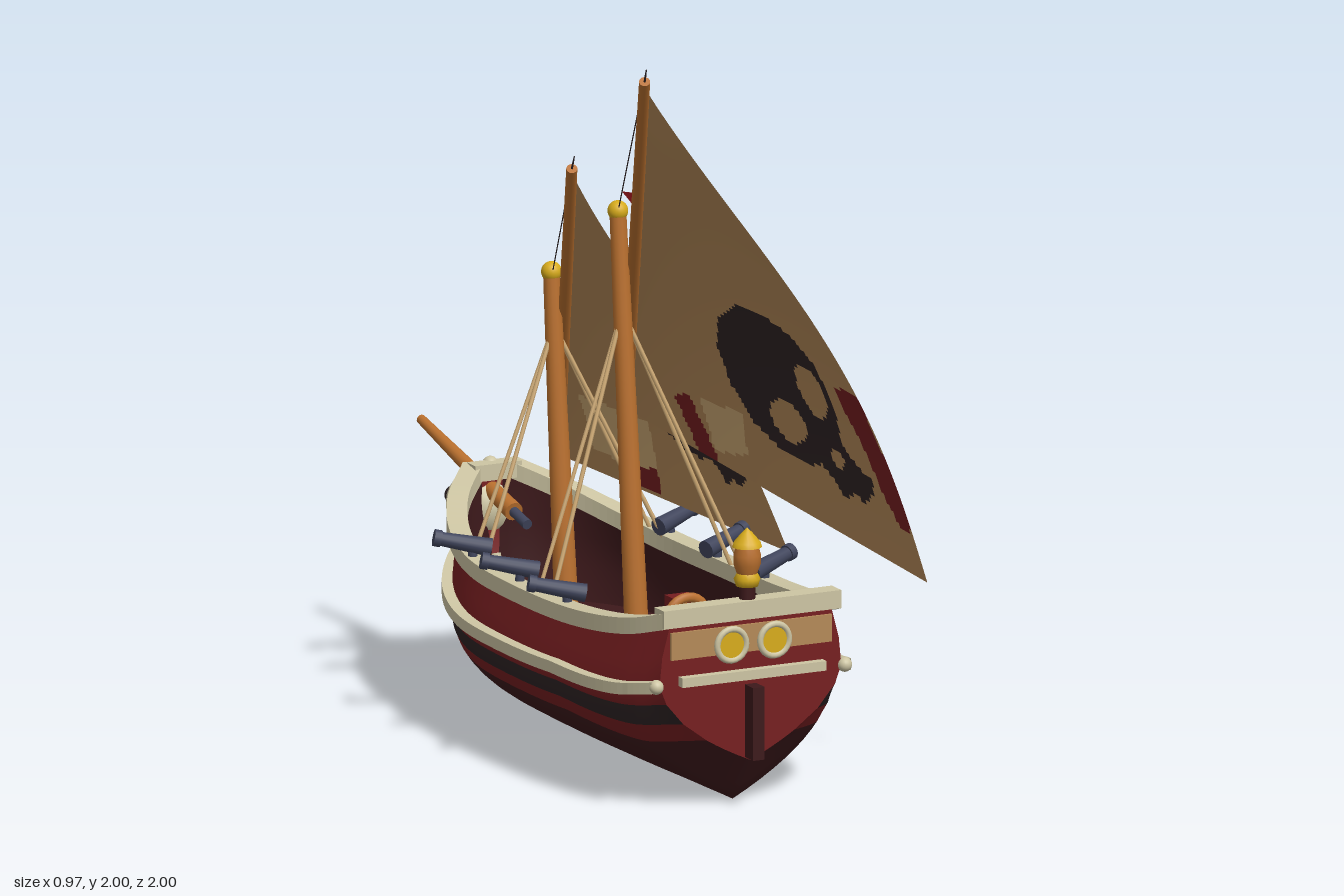
import * as THREE from 'three';

const V = (x, y, z) => new THREE.Vector3(x, y, z);
const clamp = THREE.MathUtils.clamp;

function paintOf(name, color) {
  const m = new THREE.MeshStandardMaterial({ color, side: THREE.DoubleSide });
  m.name = name;
  return m;
}

// Grid surface through rows of points; matOf(i, j, centre) picks a material index per cell
function loft(rows, matOf = () => 0, flat = false) {
  const n = rows[0].length, buckets = [];
  const id = (i, j) => i * n + j, flatRows = rows.flat();
  for (let i = 0; i < rows.length - 1; i++) for (let j = 0; j < n - 1; j++) {
    const c = V(0, 0, 0);
    for (const k of [id(i, j), id(i, j + 1), id(i + 1, j), id(i + 1, j + 1)]) c.addScaledVector(flatRows[k], 0.25);
    const m = matOf(i, j, c);
    (buckets[m] ||= []).push(id(i, j), id(i + 1, j), id(i, j + 1), id(i, j + 1), id(i + 1, j), id(i + 1, j + 1));
  }
  let g = new THREE.BufferGeometry().setFromPoints(flatRows);
  g.setIndex(buckets.flat());
  let start = 0;
  buckets.forEach((b, m) => { g.addGroup(start, b.length, m); start += b.length; });
  if (flat) g = g.toNonIndexed();
  g.computeVertexNormals();
  return g;
}

// Rectangular bar swept along a path
function sweep(pts, w, h) {
  const rows = pts.map((p, i) => {
    const t = pts[Math.min(i + 1, pts.length - 1)].clone().sub(pts[Math.max(i - 1, 0)]);
    const n = V(t.z, 0, -t.x).normalize().multiplyScalar(w / 2);
    return [[1, 1], [-1, 1], [-1, -1], [1, -1], [1, 1]].map(([a, b]) => p.clone().addScaledVector(n, a).add(V(0, b * h / 2, 0)));
  });
  return loft(rows, () => 0, true);
}

// Hull lines: (z, half width, sheer height) from stern to bow
const lines = new THREE.CatmullRomCurve3([
  V(0.95, 0.275, 0.53), V(0.8, 0.315, 0.49), V(0.55, 0.345, 0.46), V(0.2, 0.352, 0.45),
  V(-0.1, 0.33, 0.455), V(-0.3, 0.275, 0.485), V(-0.46, 0.185, 0.53), V(-0.58, 0.065, 0.58)]);
const keelY = z => 0.13 * clamp((z - 0.85) / 0.1, 0, 1);
function hullPoint(t, y, side, inset = 0) {
  const { x: z, y: w, z: s } = lines.getPoint(t);
  const f = clamp((s - y) / (s - keelY(z)), 0, 1);
  const b = clamp((0.1 - z) / 0.68, 0, 1);
  const g = (f < 0.33 ? 0.87 + 0.39 * f : 1 - Math.pow((f - 0.33) / 0.67, 2.2)) * (1 - 0.5 * b ** 6 * Math.min(1, f * 3));
  return V(side * Math.max(w * g - inset, 0), y, z + 0.25 * Math.pow(f, 2.5) * b * b);
}
// Heights of the colour bands, from sheer to keel
function levels(t) {
  const { x: z, z: s } = lines.getPoint(t);
  const k = 1 + 0.3 * clamp((z - 0.5) / 0.45, 0, 1), ys = [0, 0.07, 0.13, 0.17, 0.215, 0.255].map(o => s - o * k);
  const low = ys[5], keel = keelY(z);
  for (let i = 1; i <= 8; i++) ys.push(low + (keel - low) * i / 8);
  return ys;
}

// Skull emblem outline in side-on (z, y) coordinates
const skullShape = [[.646, 1.107], [.598, 1.188], [.517, 1.236], [.437, 1.241], [.346, 1.188], [.287, 1.091], [.276, .984],
  [.314, .877], [.399, .812], [.485, .791], [.539, .802], [.571, .769], [.603, .716], [.641, .743], [.678, .721],
  [.721, .759], [.727, .791], [.678, .823], [.641, .882], [.657, .984]];
const boneShape = [[.78, 1.043], [.743, 1.059], [.689, 1.048], [.694, 1], [.727, .893], [.753, .769], [.796, .678],
  [.828, .662], [.845, .689], [.818, .8], [.796, .92]];
function inside(poly, x, y) {
  let hit = false;
  poly.forEach(([ax, ay], i) => {
    const [bx, by] = poly[(i + 1) % poly.length];
    if ((ay > y) !== (by > y) && x < (bx - ax) * (y - ay) / (by - ay) + ax) hit = !hit;
  });
  return hit;
}
const oval = (z, y, cz, cy, rz, ry) => ((z - cz) / rz) ** 2 + ((y - cy) / ry) ** 2 < 1;
function skull(c, z0 = 0.276, y0 = 0.716, sz = 1, sy = 1) {
  const z = (c.z - z0) / sz + 0.276, y = (c.y - y0) / sy + 0.716;
  return inside(skullShape, z, y) && !oval(z, y, .587, 1.02, .048, .078)
    && !oval(z, y, .453, .909, .062, .062) && !oval(z, y, .609, .83, .022, .028);
}

export function createModel() {
  const root = new THREE.Group(), ship = new THREE.Group();
  ship.name = 'ship';
  ship.position.x = -0.09;
  root.add(ship);
  const red = paintOf('hull red', 0x761e20), dark = paintOf('dark maroon', 0x3d191b), black = paintOf('black', 0x2e2324),
    cream = paintOf('cream', 0xcdc5a3), wood = paintOf('wood', 0xb86f2e), tan = paintOf('canvas', 0xb48958),
    patch = paintOf('patch', 0xcda974), gold = paintOf('gold', 0xd8ac1c), flagRed = paintOf('flag red', 0xc42027),
    steel = paintOf('steel', 0x40455c);

  const add = (name, geo, mat, pos = [0, 0, 0], parent = ship) => {
    const m = new THREE.Mesh(geo, mat);
    m.name = name;
    m.position.set(...pos);
    parent.add(m);
    return m;
  };
  const box = (name, size, pos, mat) => add(name, new THREE.BoxGeometry(...size), mat, pos);
  const ball = (name, r, pos, mat) => add(name, new THREE.SphereGeometry(r, 20, 14), mat, pos);
  const rod = (name, a, b, r0, r1, mat, parent = ship, sides = 14) => {
    const d = b.clone().sub(a);
    const m = add(name, new THREE.CylinderGeometry(r1, r0, d.length(), sides), mat, a.clone().lerp(b, 0.5).toArray(), parent);
    m.quaternion.setFromUnitVectors(V(0, 1, 0), d.normalize());
    return m;
  };

  // Hull skin with its painted bands
  const N = 48, ts = Array.from({ length: N + 1 }, (_, i) => i / N);
  const section = t => {
    const ys = levels(t);
    return [...ys.map(y => hullPoint(t, y, 1)), ...ys.slice(0, -1).reverse().map(y => hullPoint(t, y, -1))];
  };
  const band = j => (j === 3 ? 1 : j >= 5 ? 2 : 0);
  add('hull', loft(ts.map(section), (i, j) => band(Math.min(j, 25 - j))), [red, black, dark]);
  for (const t of [0, 1]) add(t ? 'bowFace' : 'transom', loft(levels(t).map(y => [hullPoint(t, y, 1), hullPoint(t, y, -1)])), red);

  // Inner walls, rails, decks
  for (const s of [1, -1]) {
    add('innerWall', loft(ts.map(t => [0, 0.33, 0.66, 1].map(k => hullPoint(t, THREE.MathUtils.lerp(lines.getPoint(t).z, 0.25, k), s, 0.022)))), dark);
    const top = ts.map(t => hullPoint(t, lines.getPoint(t).z, s).add(V(0, 0.01, 0)));
    add('rail', sweep(top, 0.056, 0.045), cream);
    const wale = ts.map(t => hullPoint(t, levels(t)[2], s, -0.01));
    add('wale', sweep(wale, 0.035, 0.032), cream);
    ball('waleEnd', 0.02, wale[0].toArray(), cream);
  }
  box('bowRail', [0.14, 0.045, 0.05], [0, 0.59, -0.565], cream);
  const deck = (y, keep) => loft(ts.filter(keep).map(t => [hullPoint(t, y, 1, 0.015), hullPoint(t, y, -1, 0.015)]));
  add('mainDeck', deck(0.25, () => true), dark);
  add('aftDeck', deck(0.39, t => lines.getPoint(t).x > 0.54), tan);
  box('bulkhead', [0.62, 0.14, 0.02], [0, 0.32, 0.55], dark);
  box('deckBeam', [0.6, 0.03, 0.035], [0, 0.4, 0.545], cream);
  box('hatch', [0.16, 0.03, 0.2], [0, 0.26, -0.03], red);

  // Stern: rail, window band, round windows, beam, rudder
  box('sternRail', [0.53, 0.05, 0.055], [0, 0.545, 0.935], cream);
  box('windowBand', [0.48, 0.075, 0.008], [0, 0.468, 0.954], tan);
  box('innerSternPanel', [0.47, 0.12, 0.01], [0, 0.46, 0.938], tan);
  for (const s of [1, -1]) {
    const w = add('window', new THREE.CylinderGeometry(0.04, 0.04, 0.014, 24), gold, [s * 0.064, 0.457, 0.962]);
    w.rotation.x = Math.PI / 2;
    add('windowRim', new THREE.TorusGeometry(0.043, 0.009, 8, 24), cream, [s * 0.064, 0.457, 0.966]);
  }
  box('sternBeam', [0.43, 0.026, 0.03], [0, 0.37, 0.96], cream);
  box('rudder', [0.034, 0.2, 0.06], [0, 0.24, 0.97], dark);

  // Stern lantern
  const turned = (name, pts, mat) => add(name, new THREE.LatheGeometry(pts.map(p => new THREE.Vector2(...p)), 16), mat, [0, 0, 0.93]);
  turned('lanternPost', [[0.022, 0.55], [0.022, 0.61]], dark);
  turned('lanternCollar', [[0, 0.6], [0.03, 0.605], [0.036, 0.625], [0.028, 0.64]], gold);
  turned('lanternBody', [[0.026, 0.635], [0.037, 0.665], [0.037, 0.69], [0.03, 0.715]], wood);
  turned('lanternCap', [[0.04, 0.712], [0.036, 0.725], [0.015, 0.75], [0, 0.765]], gold);

  // Steering wheel on its post
  box('wheelPost', [0.07, 0.13, 0.05], [-0.045, 0.45, 0.625], red);
  add('wheelRim', new THREE.TorusGeometry(0.058, 0.014, 8, 24), wood, [-0.045, 0.46, 0.665]);
  for (const a of [0, Math.PI / 2]) box('wheelSpoke', [0.13, 0.018, 0.018], [-0.045, 0.46, 0.665], wood).rotation.z = a + 0.3;
  box('wheelStep', [0.06, 0.02, 0.04], [-0.045, 0.4, 0.705], black);

  // Bow: stem, figurehead, bowsprit
  const stem = new THREE.CatmullRomCurve3([0.36, 0.25, 0.15, 0.07, 0.015].map(y => hullPoint(1, y, 0).add(V(0, 0, -0.005))));
  add('stem', new THREE.TubeGeometry(stem, 16, 0.017, 8), cream);
  box('figureheadBracket', [0.08, 0.13, 0.07], [0, 0.335, -0.59], dark).rotation.x = -0.6;
  ball('figurehead', 0.095, [0, 0.48, -0.645], cream);
  box('figureheadJaw', [0.08, 0.04, 0.05], [0, 0.4, -0.67], cream);
  for (const s of [1, -1]) ball('figureheadEye', 0.026, [s * 0.05, 0.495, -0.705], black);
  ball('figureheadNose', 0.012, [0, 0.455, -0.733], black);
  rod('bowsprit', V(0, 0.5, -0.45), V(0, 0.632, -1), 0.026, 0.013, wood);
  rod('bowspritPin', V(0, 0.482, -0.37), V(0, 0.5, -0.45), 0.014, 0.014, steel);
  ball('bowKnob', 0.022, [0, 0.6, -0.59], cream);

  // Swivel cannons
  for (const s of [1, -1]) for (const z of [-0.12, 0.16, 0.44]) {
    rod('cannonBarrel', V(s * 0.25, 0.51, z + 0.03), V(s * 0.39, 0.54, z - 0.025), 0.025, 0.018, steel);
    rod('cannonMuzzle', V(s * 0.375, 0.537, z - 0.019), V(s * 0.393, 0.541, z - 0.026), 0.023, 0.023, steel);
    rod('cannonMount', V(s * 0.295, 0.44, z + 0.01), V(s * 0.295, 0.52, z + 0.01), 0.014, 0.012, steel);
  }

  // Masts with shrouds
  const masts = [
    { base: V(0, 0.25, 0.285), top: V(0, 1.465, 0.165), rope: 0.78, feet: [0.27, 0.35], w: 0.29 },
    { base: V(0, 0.25, -0.135), top: V(0, 1.21, -0.228), rope: 0.85, feet: [-0.16, -0.09], w: 0.27 }];
  for (const m of masts) {
    rod('mast', m.base, m.top, 0.034, 0.023, wood);
    rod('mastCollar', m.base, m.base.clone().lerp(m.top, 0.03), 0.07, 0.06, wood);
    ball('mastBall', 0.028, m.top.toArray(), gold);
    for (const s of [1, -1]) for (const z of m.feet)
      rod('shroud', m.base.clone().lerp(m.top, m.rope), V(s * m.w, 0.47, z), 0.006, 0.006, patch, ship, 6);
  }

  // Yards, stays and sails, fullest towards the free edge
  const sails = [
    { a: V(-0.28, 1.96, 0.7), b: V(0.125, 0.79, -0.218), clew: V(0.475, 0.53, 0.865), bulge: 0.095, hollow: 0, tip: V(-0.29, 2, 0.73), knob: V(-0.09, 1.46, 0.165),
      paint: (i, j, c) => skull(c) ? 1
        : inside(boneShape, c.z, c.y) || inside([[.09, .92], [.03, .9], [.05, .73], [.12, .73]], c.z, c.y) ? 2
          : inside([[.276, .893], [.13, .92], [.12, .76], [.25, .77]], c.z, c.y) ? 3 : 0 },
    { a: V(-0.235, 1.6, 0.18), b: V(0.12, 0.58, -0.61), clew: V(0.35, 0.5, 0.29), bulge: 0.08, hollow: 0.085, tip: V(-0.24, 1.64, 0.205), knob: V(-0.09, 1.2, -0.225),
      paint: (i, j, c) => skull(c, -0.147, 0.652, 0.71, 0.765) ? 1
        : inside([[-.169, .781], [-.384, .818], [-.432, .652], [-.314, .63], [-.19, .64]], c.z, c.y) ? 3
          : inside([[-.19, .64], [-.28, .64], [-.28, .58], [-.2, .57]], c.z, c.y) ? 2 : 0 }];
  for (const { a, b, clew, bulge, hollow, tip, knob, paint } of sails) {
    rod('yard', a, b, 0.015, 0.019, wood, root);
    rod('stay', tip, knob, 0.0016, 0.0016, black, root, 5);
    rod('yardTip', a, tip, 0.003, 0.0016, black, root, 6);
    const peak = a.clone().lerp(b, 0.03), tack = a.clone().lerp(b, 0.985), n = 110;
    const out = V(0.87, 0.44, -0.18), inward = tack.clone().sub(clew).normalize();
    const rows = Array.from({ length: n + 1 }, (_, i) => Array.from({ length: n + 1 }, (_, j) => {
      const t = Math.max(i / n, 0.001), s = j / n;
      return peak.clone().lerp(tack.clone().lerp(clew, s), t)
        .addScaledVector(out, 0.008 + bulge * Math.sin(Math.PI * t ** 1.4) * Math.sin(Math.PI * s ** 0.85 * 0.54))
        .addScaledVector(inward, hollow * s * s * Math.sin(Math.PI * t));
    }));
    add('sail', loft(rows, paint), [tan, black, red, patch], [0, 0, 0], root);
  }

  // Flag with emblem
  const k = 60, flag = Array.from({ length: k + 1 }, (_, i) => Array.from({ length: k + 1 }, (_, j) => {
    const u = i / k, v = j / k;
    return V(-0.085 + 0.155 * v + 0.02 * u + 0.01 * Math.sin(u * 6), 1.52 - 0.195 * v - 0.01 * u + 0.006 * Math.sin(u * 6), 0.18 + 0.215 * u);
  }));
  add('flag', loft(flag, (i, j, c) => (skull(c, 0.262, 1.35, 0.28, 0.28) ? 1 : 0)), [flagRed, black], [0, 0, 0], root);

  return root;
}
